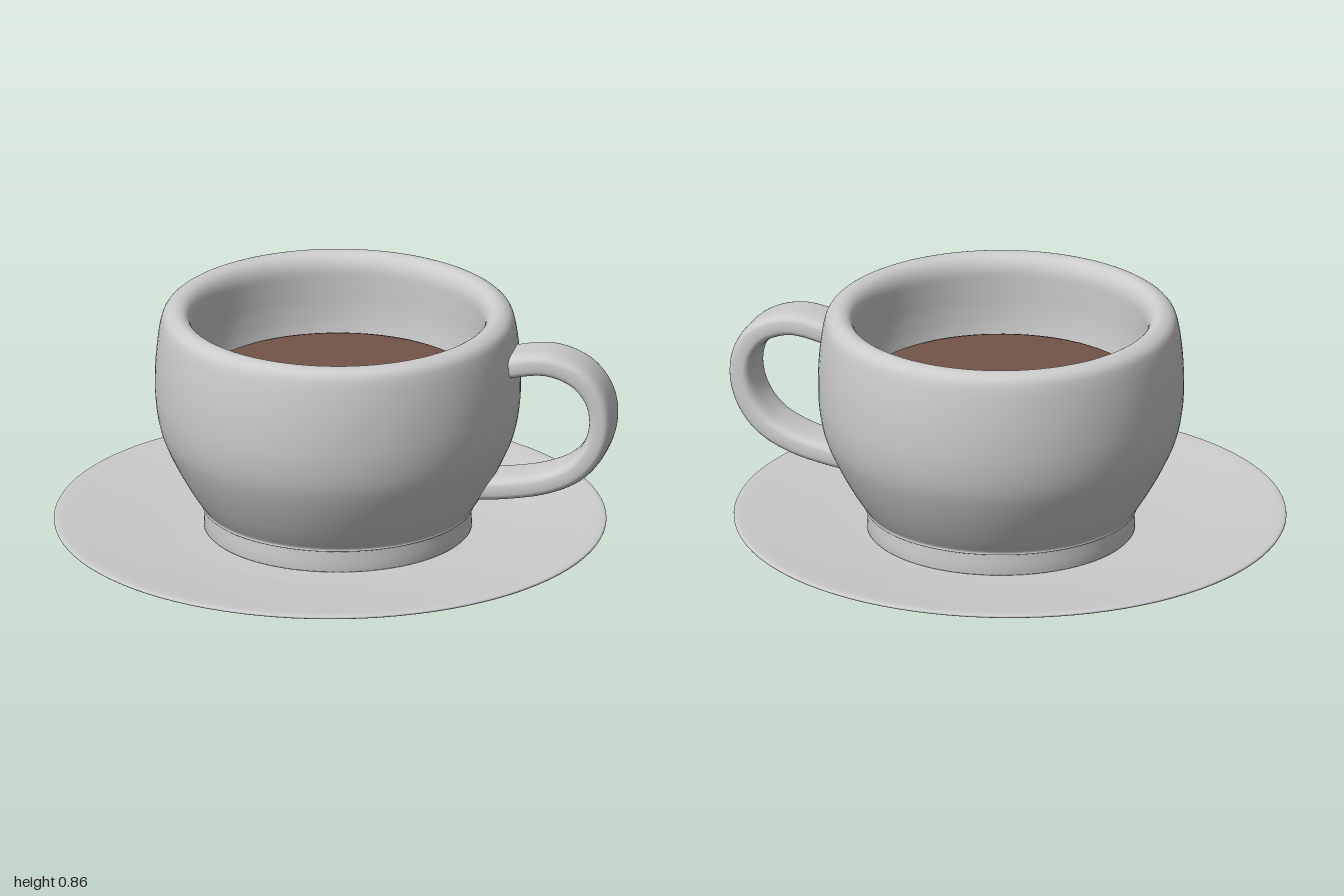
import * as THREE from 'three';

const grey = new THREE.MeshStandardMaterial({ color: 0xcccccc });
const brown = new THREE.MeshStandardMaterial({ color: 0x745449 });
const SEGMENTS = 96;

const toPoints = (list) => list.map(([x, y]) => new THREE.Vector2(x, y));
const smooth = (list, count) => new THREE.SplineCurve(toPoints(list)).getPoints(count);

function lathe(name, points, material = grey) {
  const mesh = new THREE.Mesh(new THREE.LatheGeometry(points, SEGMENTS), material);
  mesh.name = name;
  return mesh;
}

// Sweeps a rounded-rectangle section along a path in the xy plane
function sweepHandle(path, width, thickness, steps = 64, sides = 32) {
  const curve = new THREE.CatmullRomCurve3(path.map(([x, y]) => new THREE.Vector3(x, y, 0)));
  const positions = [], indices = [];
  const squash = (v) => Math.sign(v) * Math.pow(Math.abs(v), 0.58);
  for (let i = 0; i <= steps; i++) {
    const p = curve.getPointAt(i / steps);
    const t = curve.getTangentAt(i / steps);
    for (let j = 0; j < sides; j++) {
      const a = (j / sides) * Math.PI * 2;
      const n = squash(Math.cos(a)) * thickness / 2;
      positions.push(p.x - t.y * n, p.y + t.x * n, squash(Math.sin(a)) * width / 2);
      if (i === steps) continue;
      const k = (j + 1) % sides;
      const A = i * sides + j, B = i * sides + k;
      indices.push(A, B, A + sides, B, B + sides, A + sides);
    }
  }
  // End caps
  const last = steps * sides;
  for (let j = 1; j < sides - 1; j++) {
    indices.push(0, j + 1, j, last, last + j, last + j + 1);
  }
  const geometry = new THREE.BufferGeometry();
  geometry.setAttribute('position', new THREE.Float32BufferAttribute(positions, 3));
  geometry.setIndex(indices);
  geometry.computeVertexNormals();
  return geometry;
}

export function createModel() {
  const model = new THREE.Group();
  model.name = 'cupAndSaucer';

  // Shallow dished saucer
  const saucer = lathe('saucer', [
    ...smooth([[0, 0], [0.4, 0.001], [0.55, 0.006], [0.7, 0.022], [0.85, 0.045], [0.965, 0.064]], 30),
    ...smooth([[0.975, 0.068], [0.977, 0.073], [0.972, 0.078], [0.955, 0.079]], 8),
    ...smooth([[0.93, 0.077], [0.8, 0.062], [0.6, 0.042], [0.45, 0.036], [0, 0.035]], 30),
  ]);
  saucer.position.x = -0.023;
  model.add(saucer);

  const cup = new THREE.Group();
  cup.name = 'cup';
  cup.position.set(-0.002, 0, -0.035);
  model.add(cup);

  // Foot ring
  cup.add(lathe('foot', toPoints([
    [0.4, 0.036], [0.468, 0.036], [0.474, 0.042], [0.472, 0.08], [0.47, 0.125],
  ])));

  // Bowl: outer wall, rounded rim and inner wall in one profile
  cup.add(lathe('bowl', smooth([
    [0.3, 0.117], [0.465, 0.117], [0.482, 0.132], [0.527, 0.2], [0.582, 0.3], [0.624, 0.4],
    [0.643, 0.5], [0.647, 0.6], [0.642, 0.7], [0.629, 0.795], [0.612, 0.838],
    [0.575, 0.855], [0.54, 0.843], [0.521, 0.805], [0.52, 0.74], [0.521, 0.65],
    [0.512, 0.55], [0.48, 0.4], [0.4, 0.25], [0.25, 0.18], [0, 0.17],
  ], 120)));

  // Drink with a softened edge
  cup.add(lathe('drink', toPoints([
    [0.495, 0.535], [0.503, 0.55], [0.503, 0.562], [0.497, 0.57], [0.48, 0.575], [0.4, 0.576], [0, 0.576],
  ]), brown));

  // Looped handle on the left side
  const handle = new THREE.Mesh(sweepHandle([
    [0.57, 0.685], [0.64, 0.706], [0.77, 0.722], [0.88, 0.682], [0.942, 0.605],
    [0.959, 0.51], [0.932, 0.41], [0.865, 0.328], [0.76, 0.276], [0.62, 0.246], [0.5, 0.234],
  ], 0.186, 0.086), grey);
  handle.name = 'handle';
  cup.add(handle);

  return model;
}
